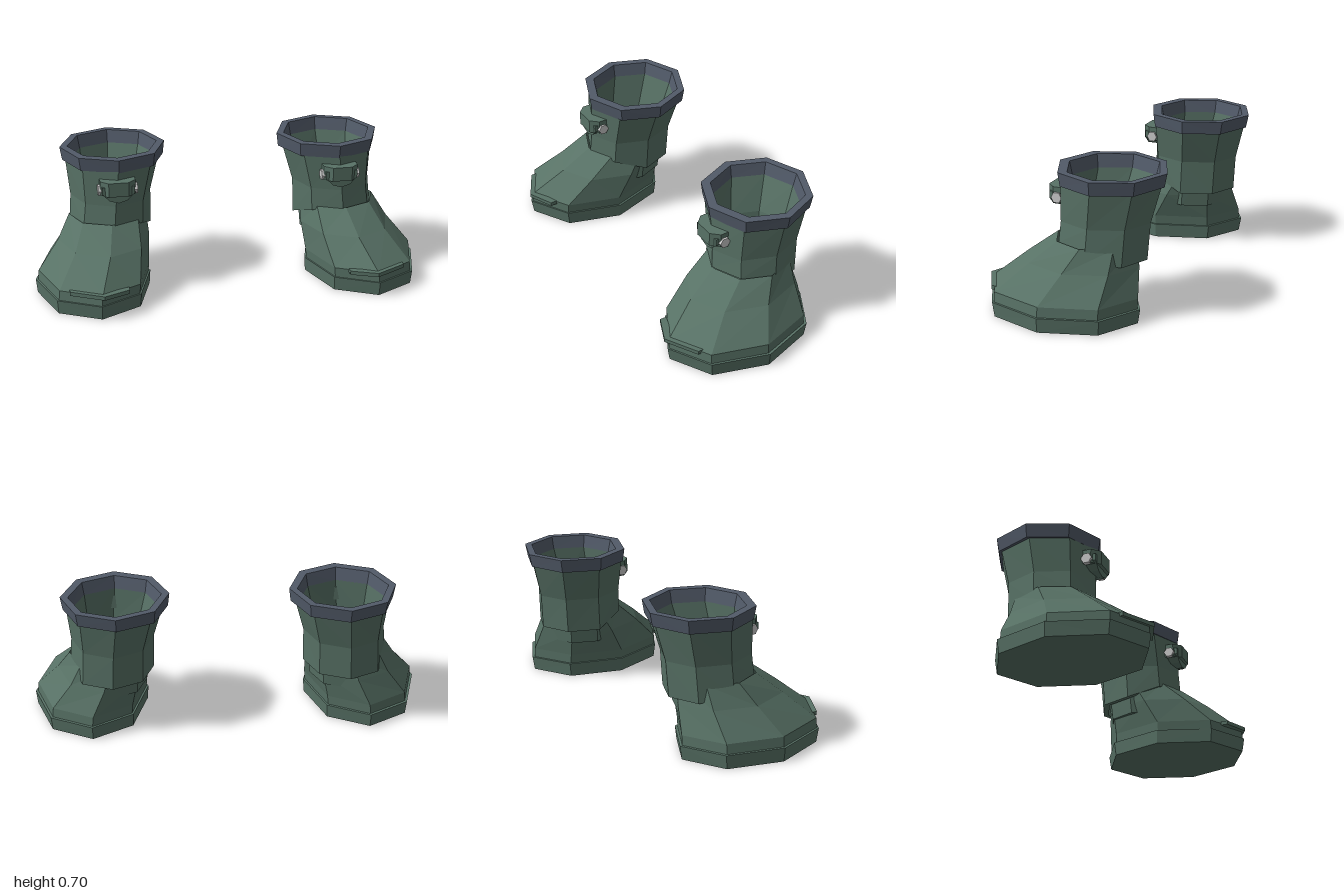
import * as THREE from 'three';

const green = new THREE.MeshStandardMaterial({ color: 0x587266, flatShading: true, side: THREE.DoubleSide });
const slate = new THREE.MeshStandardMaterial({ color: 0x525b69, flatShading: true });
const grey = new THREE.MeshStandardMaterial({ color: 0xcccccc, flatShading: true });

// Eight-sided ring from its extents; y is one height or a height per corner (front, outer, back, inner)
function ring(y, xIn, xOut, zFront, zBack) {
  return Array.from({ length: 8 }, (_, k) => {
    const a = (k * Math.PI) / 4;
    return new THREE.Vector3(
      (xIn + xOut) / 2 + ((xOut - xIn) / 2) * Math.sin(a),
      Array.isArray(y) ? y[k] : y,
      (zFront + zBack) / 2 + ((zFront - zBack) / 2) * Math.cos(a));
  });
}

// Skin a list of rings, with optional end caps
function loft(rings, capStart = false, capEnd = false) {
  const pts = [];
  for (let i = 0; i < rings.length - 1; i++) {
    const a = rings[i], b = rings[i + 1];
    for (let k = 0; k < 8; k++) {
      const n = (k + 1) % 8;
      pts.push(a[k], a[n], b[n], a[k], b[n], b[k]);
    }
  }
  const first = rings[0], last = rings[rings.length - 1];
  for (let k = 1; k < 7; k++) {
    if (capStart) pts.push(first[0], first[k + 1], first[k]);
    if (capEnd) pts.push(last[0], last[k], last[k + 1]);
  }
  return new THREE.BufferGeometry().setFromPoints(pts);
}

function extrude(points, depth) {
  const shape = new THREE.Shape(points.map(([x, y]) => new THREE.Vector2(x, y)));
  return new THREE.ExtrudeGeometry(shape, { depth, bevelEnabled: false });
}

// Positions only, optionally reflected in x with the winding reversed
function finish(geometry, side) {
  const g = geometry.index ? geometry.toNonIndexed() : geometry.clone();
  g.deleteAttribute('normal');
  g.deleteAttribute('uv');
  if (side < 0) {
    const p = g.attributes.position;
    for (let i = 0; i < p.count; i += 3) {
      const v = [0, 2, 1].map(j => new THREE.Vector3().fromBufferAttribute(p, i + j));
      v.forEach((q, j) => p.setXYZ(i + j, -q.x, q.y, q.z));
    }
  }
  g.clearGroups();
  g.computeVertexNormals();
  return g;
}

function bootParts() {
  const parts = [];
  const add = (name, geometry, material) => parts.push({ name, geometry, material });

  add('sole', loft([
    ring(0, 0.415, 0.99, 0.415, -0.35),
    ring(0.072, 0.41, 0.997, 0.427, -0.362),
    ring(0.072, 0.42, 0.985, 0.417, -0.348),
  ], true, true), green);

  add('foot', loft([
    ring(0.07, 0.42, 0.985, 0.419, -0.348),
    ring(0.122, 0.415, 0.98, 0.417, -0.348),
    ring(0.255, 0.403, 0.87, 0.255, -0.328),
    ring(0.365, 0.41, 0.805, 0.107, -0.305),
  ]), green);

  // Shaft ends in an overlapping lip that dips towards the heel
  const lipY = [0.36, 0.36, 0.3, 0.28, 0.28, 0.28, 0.28, 0.34];
  add('shaft', loft([
    ring(lipY, 0.405, 0.78, 0.08, -0.32),
    ring(lipY, 0.382, 0.803, 0.106, -0.35),
    ring(0.46, 0.378, 0.79, 0.1, -0.362),
    ring(0.65, 0.325, 0.808, 0.103, -0.412),
  ]), green);

  add('lining', loft([
    ring(0.64, 0.35, 0.78, 0.05, -0.38),
    ring(0.46, 0.4, 0.757, 0.06, -0.325),
    ring(0.2, 0.42, 0.78, 0.07, -0.3),
  ], false, true), green);

  add('cuff', loft([
    ring(0.637, 0.34, 0.79, 0.062, -0.39),
    ring(0.637, 0.305, 0.822, 0.103, -0.422),
    ring(0.705, 0.297, 0.833, 0.114, -0.436),
    ring(0.705, 0.336, 0.794, 0.065, -0.398),
    ring(0.637, 0.35, 0.78, 0.05, -0.38),
  ]), slate);

  // Rounded pocket under a projecting flap, held by a rivet on each side
  const cx = 0.572;
  add('strapPocket', extrude([
    [-0.082, 0.575], [-0.082, 0.54], [-0.045, 0.502], [0, 0.488],
    [0.045, 0.502], [0.082, 0.54], [0.082, 0.575],
  ], 0.068).translate(cx, 0, 0.06), green);
  add('strapFlap', extrude([
    [-0.088, -0.05], [0.088, -0.05], [0.088, -0.105], [0.05, -0.145], [-0.05, -0.145], [-0.088, -0.105],
  ], 0.072).rotateX(-Math.PI / 2).scale(1, 1, 1).translate(cx, 0.528, 0), green);
  for (const s of [-1, 1]) {
    add('strapRivet', new THREE.CylinderGeometry(0.028, 0.028, 0.022, 6)
      .rotateZ(Math.PI / 2).translate(cx + s * 0.088, 0.55, 0.085), grey);
  }

  // Thin band wrapped over the toe
  add('toeBand', extrude([
    [0.56, -0.345], [0.69, -0.39], [0.85, -0.315], [0.85, -0.348], [0.69, -0.437], [0.56, -0.38],
  ], 0.02).rotateX(-Math.PI / 2).translate(0, 0.11, 0), green);

  return parts;
}

export function createModel() {
  const model = new THREE.Group();
  model.name = 'bootPair';
  const parts = bootParts();
  for (const side of [1, -1]) {
    const boot = new THREE.Group();
    boot.name = side > 0 ? 'leftBoot' : 'rightBoot';
    for (const { name, geometry, material } of parts) {
      const mesh = new THREE.Mesh(finish(geometry, side), material);
      mesh.name = name;
      boot.add(mesh);
    }
    model.add(boot);
  }
  return model;
}
